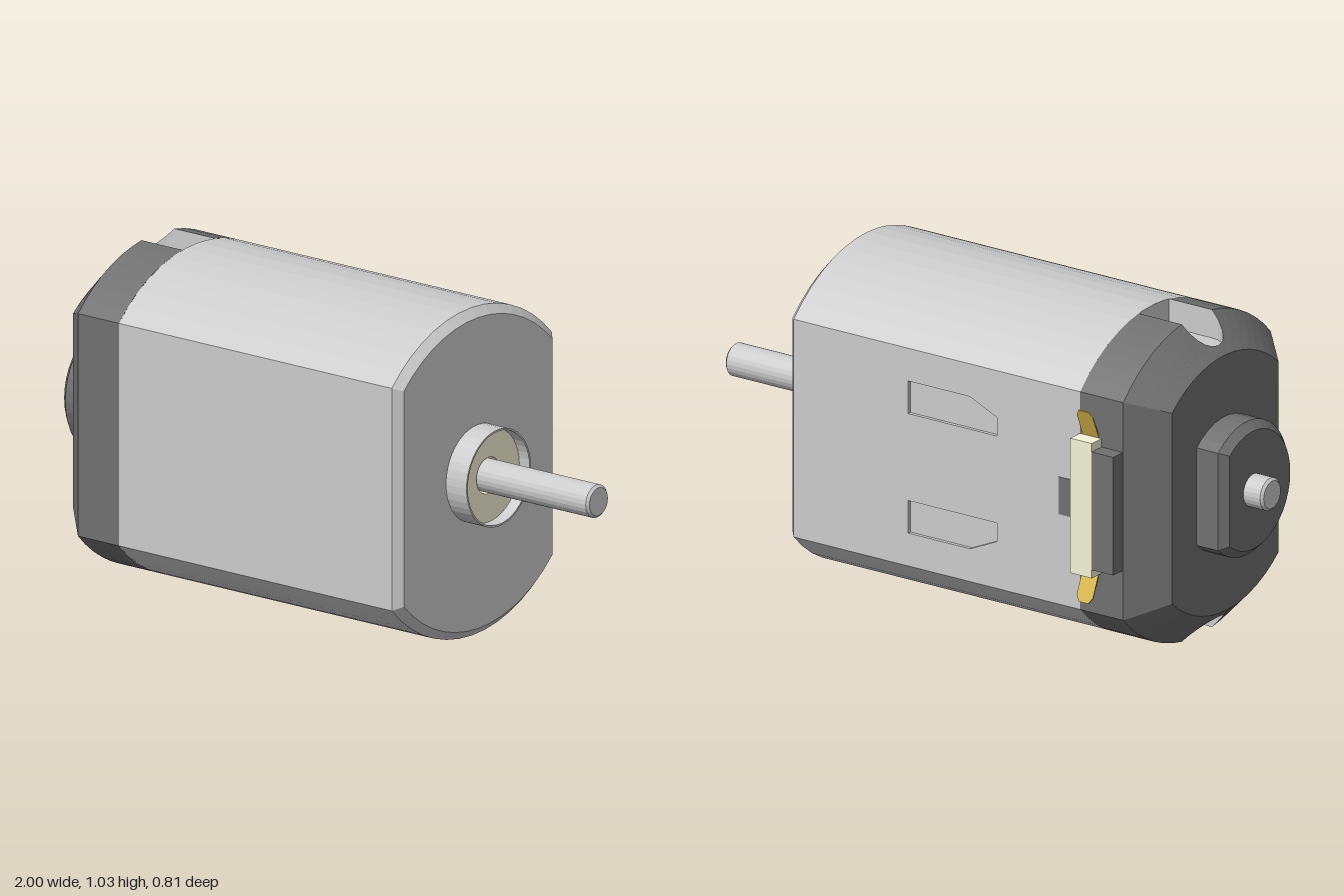
import * as THREE from 'three';

const R = 0.517, H = 0.38;            // housing radius and half width across the flats
const SLOT = 0.078, FLOOR = 0.42;     // vent slot half width and floor height
const N = 7, HALF = 2 * N + 4;        // arc steps beside a slot, points per half section

const material = (color) =>
  new THREE.MeshStandardMaterial({ color, flatShading: true, side: THREE.DoubleSide });
const metal = material(0xcccccc), dark = material(0x707070);
const cream = material(0xf5f2d6), brass = material(0xd8b84e);

// Round section with two flats, inset by d, with a slot of half width w at top and bottom
function housingSection(x, d = 0, w = 0) {
  const r = R - d, corner = Math.asin((H - d) / r), s = Math.asin(w / r);
  const half = [];
  const arc = (a, b) => {
    for (let i = 0; i <= N; i++) {
      const t = a + (b - a) * i / N;
      half.push([r * Math.cos(t), r * Math.sin(t)]);
    }
  };
  arc(corner, s);
  const y = Math.min(FLOOR, r * Math.cos(s));
  half.push([y, w], [y, -w]);
  arc(-s, -corner);
  return [...half, ...half.map(([py, pz]) => [-py, -pz])].map(([py, pz]) => [x, py, pz]);
}

// Round section with a single flat on the back
function bossSection(x, d = 0) {
  const r = 0.215 - d, a = Math.asin((0.147 - d) / r), pts = [];
  for (let i = 0; i <= 28; i++) {
    const t = Math.PI + a - (Math.PI + 2 * a) * i / 28;
    pts.push([x, r * Math.cos(t), r * Math.sin(t)]);
  }
  return pts;
}

// Skin over sections ordered by rising x; keep(i, j) selects the strips to build
function loft(sections, { keep = () => true, start = false, end = false } = {}) {
  const pos = [], n = sections[0].length;
  const tri = (...p) => p.forEach((v) => pos.push(...v));
  for (let i = 0; i < sections.length - 1; i++) {
    for (let j = 0; j < n; j++) {
      if (!keep(i, j)) continue;
      const k = (j + 1) % n, p = sections[i], q = sections[i + 1];
      tri(p[j], q[j], q[k]);
      tri(p[j], q[k], p[k]);
    }
  }
  const close = (s, flip) => s.forEach((p, j) => {
    const q = s[(j + 1) % n], c = [p[0], 0, 0];
    flip ? tri(c, q, p) : tri(c, p, q);
  });
  if (start) close(sections[0], false);
  if (end) close(sections[sections.length - 1], true);
  const g = new THREE.BufferGeometry();
  g.setAttribute('position', new THREE.Float32BufferAttribute(pos, 3));
  g.computeVertexNormals();
  return g;
}

// Turned part along x from [x, radius] pairs
function turned(profile, segments = 32) {
  const pts = profile.map(([x, r]) => new THREE.Vector2(r, x));
  return new THREE.LatheGeometry(pts, segments).rotateZ(-Math.PI / 2);
}

function polygon(points, Type = THREE.Shape) {
  return new Type(points.map(([x, y]) => new THREE.Vector2(x, y)));
}

export function createModel() {
  const model = new THREE.Group();
  model.position.set(0, R, 0.027);
  const root = new THREE.Group();
  root.name = 'motor';
  root.add(model);
  const add = (name, geometry, mat) => {
    const mesh = new THREE.Mesh(geometry, mat);
    mesh.name = name;
    model.add(mesh);
    return mesh;
  };
  const box = (name, mat, x0, x1, y0, y1, z0, z1) =>
    add(name, new THREE.BoxGeometry(x1 - x0, y1 - y0, z1 - z0), mat)
      .position.set((x0 + x1) / 2, (y0 + y1) / 2, (z0 + z1) / 2);

  // Metal can, its back flat left open for the pocketed panel
  const backStrip = HALF - 1;
  add('can', loft(
    [housingSection(-0.56), housingSection(0.505), housingSection(0.53, 0.027)],
    { keep: (i, j) => !(i === 0 && j === backStrip), start: true, end: true }), metal);

  // Back panel with two shallow pockets
  const edge = Math.sqrt(R * R - H * H);
  const panel = polygon([[-0.56, -edge], [0.505, -edge], [0.505, edge], [-0.56, edge]]);
  for (const s of [1, -1]) {
    panel.holes.push(polygon(
      [[0.08, 0.14 * s], [0.08, 0.245 * s], [-0.15, 0.245 * s], [-0.25, 0.2 * s], [-0.25, 0.14 * s]],
      THREE.Path));
  }
  add('backPanel', new THREE.ExtrudeGeometry(panel, { depth: 0.012, bevelEnabled: false }), metal)
    .position.z = -H;
  box('pocketFloor', metal, -0.3, 0.13, -0.3, 0.3, -H + 0.012, -H + 0.02);

  // End cap with a bevelled rear and a round-ended slot at top and bottom
  const capSections = [-0.825, -0.8, -0.795, -0.785, -0.77, -0.745, -0.72, -0.56].map((x) => {
    const t = Math.max(0, -0.72 - x);
    return housingSection(x, t, SLOT * Math.sqrt(Math.max(0, 1 - (t / 0.08) ** 2)));
  });
  const inSlot = (i, j) => j % HALF >= N && j % HALF <= N + 2;
  add('endCap', loft(capSections, { keep: (i, j) => !inSlot(i, j), start: true }), dark);
  add('ventSlots', loft(capSections, { keep: inSlot }), metal);

  // Rear bearing boss
  add('rearBoss', loft(
    [bossSection(-0.93, 0.025), bossSection(-0.905), bossSection(-0.825)], { start: true }), dark);

  // Front bearing collar, bushing and shaft
  add('bearingCollar', turned(
    [[0.53, 0.153], [0.61, 0.153], [0.61, 0.147], [0.57, 0.147]], 40), metal);
  add('bushing', turned([[0.57, 0.148], [0.57, 0.057], [0.535, 0.057]], 40), cream);
  add('shaft', turned(
    [[-1, 0], [-1, 0.044], [-0.992, 0.052], [0.992, 0.052], [1, 0.044], [1, 0]], 24), metal);

  // Terminal block on the back
  box('terminalHousing', dark, -0.72, -0.64, -0.19, 0.19, -0.432, -H + 0.01);
  box('terminalPlate', cream, -0.64, -0.56, -0.217, 0.217, -0.432, -H + 0.01);
  box('lockingTab', dark, -0.57, -0.48, -0.06, 0.06, -H - 0.002, -H + 0.01);

  // Bent brass terminals
  const blade = polygon([[-0.03, -0.05], [0.03, -0.05], [0.03, 0.03], [0.018, 0.05], [-0.018, 0.05], [-0.03, 0.03]]);
  for (const turn of [0, Math.PI]) {
    const g = new THREE.ExtrudeGeometry(blade, { depth: 0.004, bevelEnabled: false });
    g.rotateX(-0.4).translate(0, 0.262, -0.4).rotateZ(turn).translate(-0.6, 0, 0);
    add('terminal', g, brass);
  }
  return root;
}
